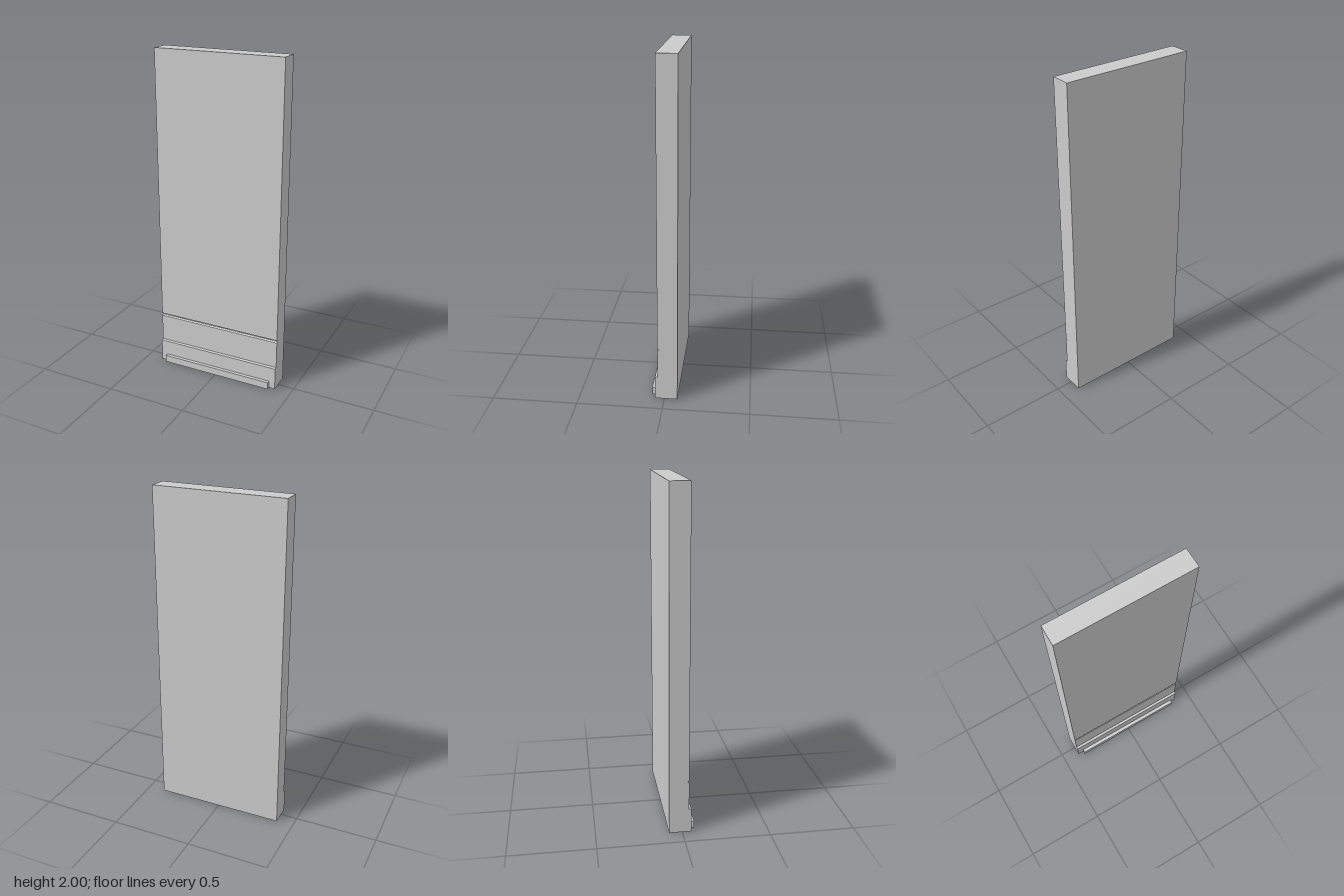
import * as THREE from 'three';

const material = new THREE.MeshStandardMaterial({ color: 0xcccccc, flatShading: true });

// Extrudes a [z, y] side profile across the given width, centred on x = 0.
function extrudeAcross(name, profile, width) {
  const shape = new THREE.Shape(profile.map(([z, y]) => new THREE.Vector2(-z, y)));
  const geometry = new THREE.ExtrudeGeometry(shape, { depth: width, bevelEnabled: false });
  geometry.translate(0, 0, -width / 2);
  geometry.rotateY(Math.PI / 2);
  const mesh = new THREE.Mesh(geometry, material);
  mesh.name = name;
  return mesh;
}

export function createModel() {
  const group = new THREE.Group();
  group.name = 'panel';

  // Tall slab with a thin groove and a thicker plinth at the foot
  group.add(extrudeAcross('slab', [
    [-0.076, 0], [0.055, 0], [0.055, 0.139], [0.04, 0.143],
    [0.04, 0.312], [0.031, 0.318], [0.031, 0.322], [0.04, 0.328],
    [0.04, 2], [-0.076, 2],
  ], 0.792));

  // Narrow strip standing proud of the plinth
  const strip = new THREE.Mesh(new THREE.BoxGeometry(0.716, 0.045, 0.023), material);
  strip.name = 'footStrip';
  strip.position.set(0, 0.0225, 0.0645);
  group.add(strip);

  return group;
}
